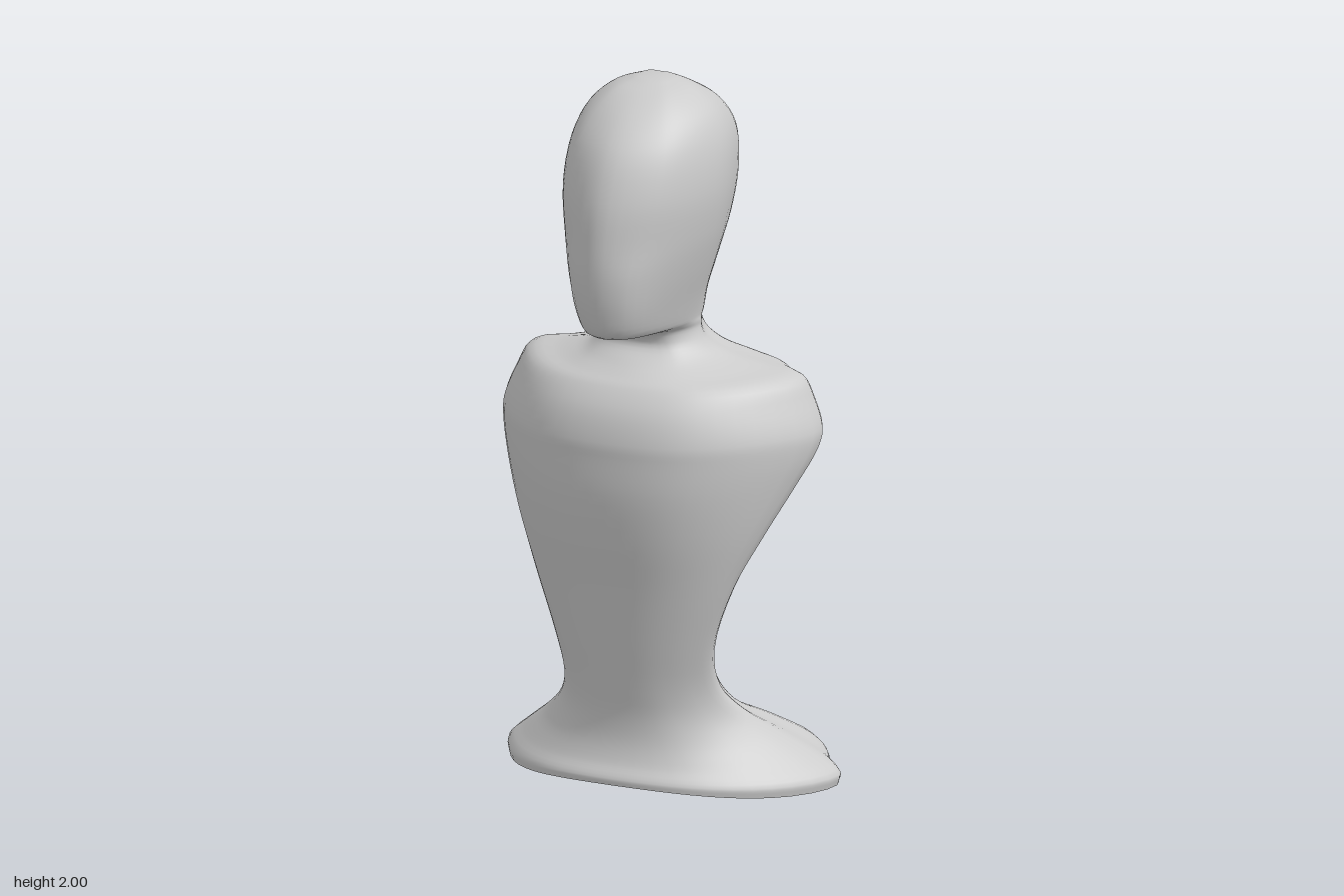
import * as THREE from 'three';

// Each half section runs front -> side corner -> back corner -> spine.
// Torso rows: y, front z, half width, side z, back corner x, back corner z, spine z
const TORSO = [
  [0.0, 0.315, 0.49, -0.08, 0.33, -0.28, -0.40],
  [0.03, 0.315, 0.495, -0.08, 0.34, -0.29, -0.42],
  [0.08, 0.29, 0.44, -0.06, 0.32, -0.26, -0.37],
  [0.15, 0.27, 0.35, -0.01, 0.24, -0.17, -0.22],
  [0.22, 0.265, 0.275, 0.06, 0.18, -0.05, -0.07],
  [0.3, 0.275, 0.235, 0.13, 0.15, 0.0, 0.0],
  [0.42, 0.295, 0.24, 0.18, 0.14, 0.015, 0.02],
  [0.6, 0.325, 0.30, 0.18, 0.16, -0.02, 0.0],
  [0.75, 0.355, 0.37, 0.13, 0.20, -0.065, -0.03],
  [0.88, 0.372, 0.43, 0.06, 0.25, -0.12, -0.06],
  [0.98, 0.372, 0.47, 0.0, 0.30, -0.165, -0.085],
  [1.03, 0.37, 0.475, -0.02, 0.31, -0.178, -0.09],
  [1.11, 0.345, 0.445, -0.03, 0.305, -0.165, -0.10],
  [1.17, 0.30, 0.41, -0.03, 0.285, -0.135, -0.10],
  [1.195, 0.265, 0.30, 0.0, 0.21, -0.125, -0.105],
];
// Neck and head rows: y, front z, cheek x, cheek z, then as above
const HEAD = [
  [1.225, 0.225, 0.12, 0.19, 0.20, 0.03, 0.13, -0.10, -0.10],
  [1.265, 0.18, 0.09, 0.165, 0.155, 0.06, 0.09, -0.075, -0.09],
  [1.30, 0.20, 0.075, 0.18, 0.14, 0.06, 0.08, -0.06, -0.08],
  [1.318, 0.30, 0.06, 0.26, 0.14, 0.06, 0.08, -0.06, -0.08],
  [1.335, 0.385, 0.06, 0.355, 0.14, 0.08, 0.08, -0.06, -0.08],
  [1.40, 0.41, 0.075, 0.38, 0.155, 0.10, 0.09, -0.07, -0.09],
  [1.50, 0.42, 0.085, 0.39, 0.185, 0.11, 0.11, -0.10, -0.125],
  [1.60, 0.415, 0.10, 0.37, 0.21, 0.11, 0.13, -0.13, -0.168],
  [1.72, 0.395, 0.12, 0.34, 0.225, 0.10, 0.14, -0.155, -0.198],
  [1.84, 0.345, 0.12, 0.29, 0.215, 0.08, 0.14, -0.14, -0.175],
  [1.92, 0.27, 0.10, 0.23, 0.18, 0.07, 0.115, -0.09, -0.12],
  [1.975, 0.18, 0.07, 0.16, 0.115, 0.06, 0.07, -0.02, -0.04],
  [2.0, 0.10, 0.03, 0.09, 0.045, 0.055, 0.03, 0.02, 0.02],
];
const COLS = 48, STEPS = 4;
const lerp = THREE.MathUtils.lerp;

// Closed, mirrored, smoothed section
function section(y, zf, px, pz, w, zw, bx, zb, zc, round) {
  const side = [
    [px, pz],
    [lerp(px, w, 0.64), lerp(pz, zw, 0.4)],
    [w, zw],
    [lerp(bx, w, round), lerp(zw, zb, 0.5)],
    [bx, zb],
  ];
  const half = [[0, zf], ...side, [0, zc]];
  const loop = [...half, ...side.reverse().map(([x, z]) => [-x, z])];
  const curve = new THREE.CatmullRomCurve3(
    loop.map(([x, z]) => new THREE.Vector3(x, y, z)), true, 'centripetal');
  return Array.from({ length: COLS }, (_, i) => curve.getPoint(i / COLS));
}

export function createModel() {
  const group = new THREE.Group();
  const material = new THREE.MeshStandardMaterial({ color: 0xcccccc });

  const sections = [
    ...TORSO.map(([y, zf, w, zw, bx, zb, zc]) =>
      section(y, zf, 0.45 * w, lerp(zw, zf, 0.9), w, zw, bx, zb, zc, 0.5)),
    ...HEAD.map((r) => section(...r, r[0] < 1.32 ? 0.55 : 0.75)),
  ];

  // The foot lifts slightly at the front
  sections.slice(0, 3).forEach((s, k) => s.forEach((p) => {
    p.y += (0.04 - 0.012 * k) * Math.max(0, p.z / 0.32) ** 2;
  }));

  // Loft smoothly upward through the sections
  const rows = (sections.length - 1) * STEPS;
  const columns = Array.from({ length: COLS }, (_, i) =>
    new THREE.CatmullRomCurve3(sections.map((s) => s[i]), false, 'centripetal'));
  const points = [];
  for (let j = 0; j <= rows; j++) {
    for (const c of columns) points.push(c.getPoint(j / rows));
  }
  const crown = points.push(new THREE.Vector3(0, 2.0, 0.06)) - 1;

  const strip = (from, to) => {
    const index = [];
    for (let j = from; j < to; j++) {
      for (let i = 0; i < COLS; i++) {
        const a = j * COLS + i, b = j * COLS + (i + 1) % COLS;
        index.push(a, b, b + COLS, a, b + COLS, a + COLS);
      }
    }
    return index;
  };
  const crownFan = [];
  for (let i = 0; i < COLS; i++) {
    crownFan.push(rows * COLS + i, rows * COLS + (i + 1) % COLS, crown);
  }

  // Shared normals keep the joins between the parts smooth
  const skin = new THREE.BufferGeometry().setFromPoints(points);
  skin.setIndex([...strip(0, rows), ...crownFan]);
  skin.computeVertexNormals();
  const addPart = (name, index) => {
    const g = new THREE.BufferGeometry();
    g.setAttribute('position', skin.attributes.position);
    g.setAttribute('normal', skin.attributes.normal);
    g.setIndex(index);
    const mesh = new THREE.Mesh(g, material);
    mesh.name = name;
    group.add(mesh);
  };
  const waist = 5 * STEPS, collar = TORSO.length * STEPS, jaw = collar + 2 * STEPS;
  addPart('flaredBase', strip(0, waist));
  addPart('torso', strip(waist, collar));
  addPart('neck', strip(collar, jaw));
  addPart('head', [...strip(jaw, rows), ...crownFan]);

  // Underside
  const rim = points.slice(0, COLS);
  const under = new THREE.BufferGeometry().setFromPoints([...rim, new THREE.Vector3(0, 0.005, -0.05)]);
  under.setIndex(rim.flatMap((_, i) => [(i + 1) % COLS, i, COLS]));
  under.computeVertexNormals();
  const underside = new THREE.Mesh(under, material);
  underside.name = 'underside';
  group.add(underside);

  return group;
}
